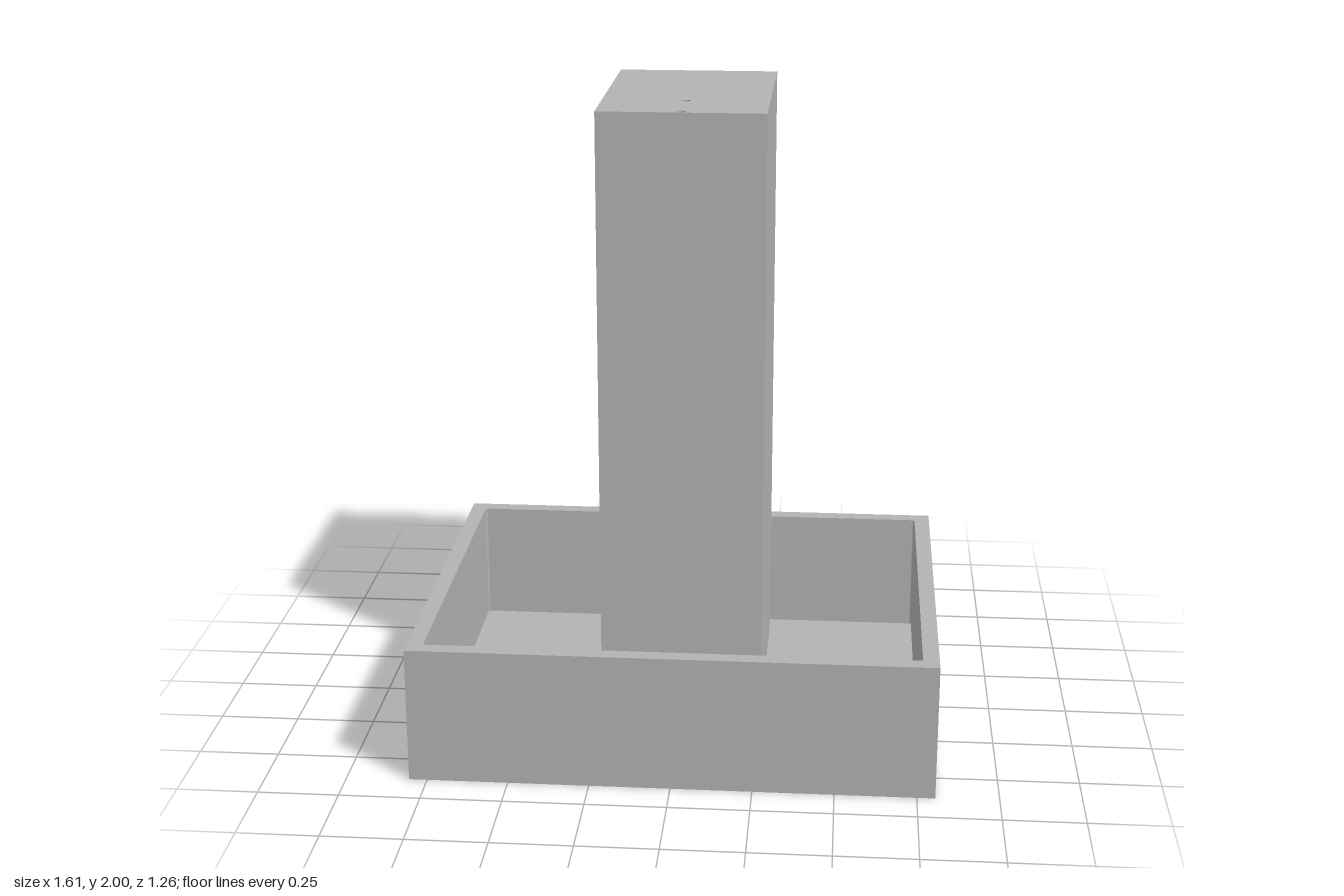
import * as THREE from 'three';

// Rectangle traced into a Shape or Path; v is the plan direction -z
function rect(target, x0, x1, z0, z1, r = 0) {
  const v0 = -z1, v1 = -z0;
  target.moveTo(x0 + r, v0);
  target.lineTo(x1 - r, v0);
  if (r) target.absarc(x1 - r, v0 + r, r, -Math.PI / 2, 0);
  target.lineTo(x1, v1 - r);
  if (r) target.absarc(x1 - r, v1 - r, r, 0, Math.PI / 2);
  target.lineTo(x0 + r, v1);
  if (r) target.absarc(x0 + r, v1 - r, r, Math.PI / 2, Math.PI);
  target.lineTo(x0, v0 + r);
  if (r) target.absarc(x0 + r, v0 + r, r, Math.PI, Math.PI * 1.5);
  target.closePath();
  return target;
}

// Small round through-hole
function drill(shape, [x, z]) {
  const hole = new THREE.Path();
  hole.absarc(x, -z, 0.014, 0, Math.PI * 2, true);
  shape.holes.push(hole);
}

export function createModel() {
  const model = new THREE.Group();
  model.name = 'basinWithColumn';
  const grey = new THREE.MeshStandardMaterial({ color: 0xb2b2b2 });
  grey.name = 'grey';

  // Extrude a plan shape upward from y0 to y1
  const addSlab = (name, shape, y0, y1) => {
    const geo = new THREE.ExtrudeGeometry(shape, { depth: y1 - y0, bevelEnabled: false, curveSegments: 8 });
    geo.rotateX(-Math.PI / 2);
    geo.translate(0, y0, 0);
    const mesh = new THREE.Mesh(geo, grey);
    mesh.name = name;
    model.add(mesh);
  };

  const floorY = 0.04, rimY = 0.432, topY = 2;
  const columnHoles = [[0, 0], [0, 0.182]];
  const floorHoles = [[0.36, 0], [-0.457, 0.093]];

  // Basin floor with drain holes
  const floor = rect(new THREE.Shape(), -0.806, 0.806, -0.632, 0.632);
  [...columnHoles, ...floorHoles].forEach((p) => drill(floor, p));
  addSlab('basinFloor', floor, 0, floorY);

  // Basin walls with slightly rounded inner corners
  const walls = rect(new THREE.Shape(), -0.806, 0.806, -0.632, 0.632);
  walls.holes.push(rect(new THREE.Path(), -0.756, 0.756, -0.583, 0.583, 0.008));
  addSlab('basinWalls', walls, floorY, rimY);

  // Tall column set toward the back, bored from top to bottom
  const column = rect(new THREE.Shape(), -0.257, 0.257, -0.56, 0.199);
  columnHoles.forEach((p) => drill(column, p));
  addSlab('column', column, floorY, topY);

  return model;
}
